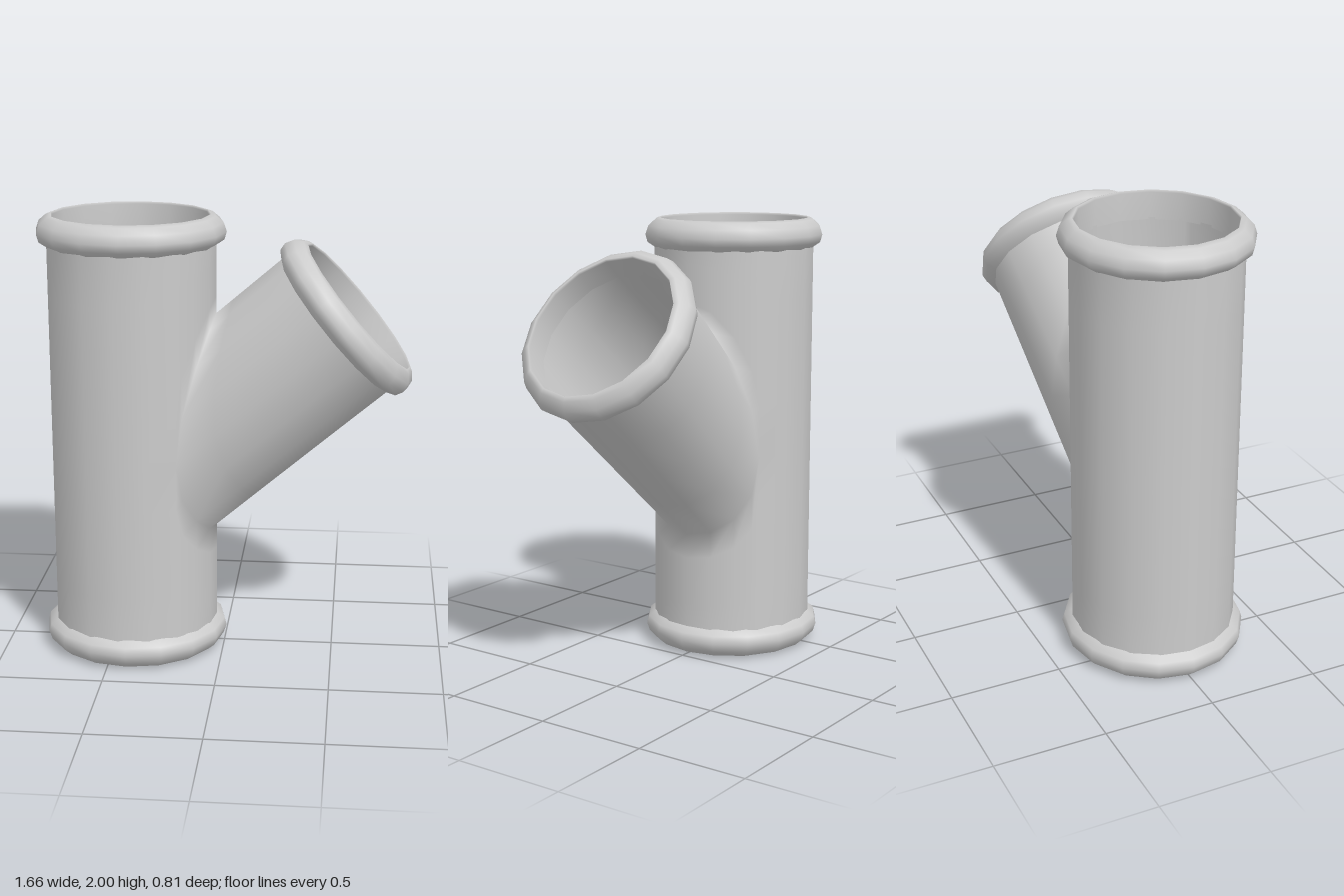
import * as THREE from 'three';
import { mergeVertices } from 'three/addons/utils/BufferGeometryUtils.js';

const CX = -0.411;                        // axis of the main pipe
const A = THREE.MathUtils.degToRad(40.5); // rise of the branch
const FACE = { x: 0.594, y: 1.606 };      // centre of the branch opening
const SIDES = 16, END = 0.12;
const SQUASH = 0.965;                     // the pipes are slightly flattened in z

// Pushes a grid of quads, point(i, j) with i around and j along
function addGrid(out, nu, nv, point, flip) {
  for (let i = 0; i < nu; i++) for (let j = 0; j < nv; j++) {
    const a = point(i, j), b = point(i + 1, j), c = point(i, j + 1), d = point(i + 1, j + 1);
    for (const t of flip ? [[a, c, b], [b, c, d]] : [[a, b, c], [b, d, c]]) {
      const [p, q, r] = t.map(v => new THREE.Vector3(...v));
      const area = q.clone().sub(p).cross(r.clone().sub(p)).length();
      if (area > 1e-7) out.push(...t.flat());
    }
  }
}

// One skin of the Y-shaped wall: main tube with a hole, and the branch growing out of it.
// R is the radius at the junction, endR the radius at the three ends.
function wall(R, endR, flip) {
  const axisY = x => FACE.y + (x - FACE.x) * Math.tan(A);
  const halfZ = x => R - 0.066 + 0.1 * x;
  const mix = THREE.MathUtils.lerp;

  // Where the branch line at angle phi meets the main tube
  const joint = phi => {
    let x = CX + R, z = 0;
    for (let n = 0; n < 30; n++) {
      z = halfZ(x) * Math.sin(phi);
      x = CX + Math.sqrt(R * R - (z / SQUASH) ** 2);
    }
    return [x, axisY(x) + R / Math.cos(A) * Math.cos(phi), z];
  };

  // Columns of the main tube: the hole edge first, then round the back
  const columns = [];
  for (let k = -4; k <= 4; k++) {
    const phi = k * 2 * Math.PI / SIDES;
    const hi = joint(phi), lo = joint(Math.PI - phi);
    columns.push({ x: hi[0], z: hi[2], lo: lo[1], hi: hi[1] });
  }
  const last = columns[8], start = Math.atan2(last.z / SQUASH, last.x - CX), back = 12;
  for (let k = 1; k <= back; k++) {
    const t = start + (2 * Math.PI - 2 * start) * k / back;
    columns.push({ x: CX + R * Math.cos(t), z: R * SQUASH * Math.sin(t), lo: last.lo, hi: last.hi });
  }

  // Main tube below and above the hole
  const out = [], rows = 4;
  const tubePoint = (c, yEnd, yHole, t) => {
    const s = mix(endR / R, 1, t);
    return [CX + (c.x - CX) * s, mix(yEnd, yHole, t), c.z * s];
  };
  addGrid(out, columns.length - 1, rows,
    (i, j) => tubePoint(columns[i], END, columns[i].lo, j / rows), !flip);
  addGrid(out, columns.length - 1, rows,
    (i, j) => tubePoint(columns[i], 2 - END, columns[i].hi, 1 - j / rows), !flip);

  // Branch: straight lines from the joint to the rim
  addGrid(out, SIDES, rows, (i, j) => {
    const phi = i * 2 * Math.PI / SIDES, up = endR * Math.cos(phi);
    const rim = [
      FACE.x - END * Math.cos(A) - Math.sin(A) * up,
      FACE.y - END * Math.sin(A) + Math.cos(A) * up,
      endR * SQUASH * Math.sin(phi)];
    return joint(phi).map((v, n) => mix(v, rim[n], j / rows));
  }, flip);

  const geo = new THREE.BufferGeometry();
  geo.setAttribute('position', new THREE.Float32BufferAttribute(out, 3));
  const merged = mergeVertices(geo, 1e-4);
  merged.computeVertexNormals();
  return merged;
}

export function createModel() {
  const group = new THREE.Group();
  const material = new THREE.MeshStandardMaterial({ color: 0xcccccc, side: THREE.DoubleSide });
  const add = (name, geometry) => {
    const mesh = new THREE.Mesh(geometry, material);
    mesh.name = name;
    group.add(mesh);
    return mesh;
  };

  // Pipe walls, thinnest at the junction
  add('outerWall', wall(0.376, 0.376, false));
  add('innerWall', wall(0.366, 0.348, true));

  // Rounded collars, opening at y = 0 facing down
  const profile = [[0.348, 0.13], [0.348, 0.01], [0.353, 0], [0.375, 0.008], [0.408, 0.036],
    [0.421, 0.075], [0.411, 0.11], [0.373, 0.135]].map(p => new THREE.Vector2(...p));
  const collar = new THREE.LatheGeometry(profile, SIDES).scale(1, 1, SQUASH);
  add('bottomCollar', collar).position.set(CX, 0, 0);
  const top = add('topCollar', collar);
  top.position.set(CX, 2, 0);
  top.rotation.x = Math.PI;
  const side = add('branchCollar', collar);
  side.position.set(FACE.x, FACE.y, 0);
  side.rotation.z = A + Math.PI / 2;

  return group;
}
